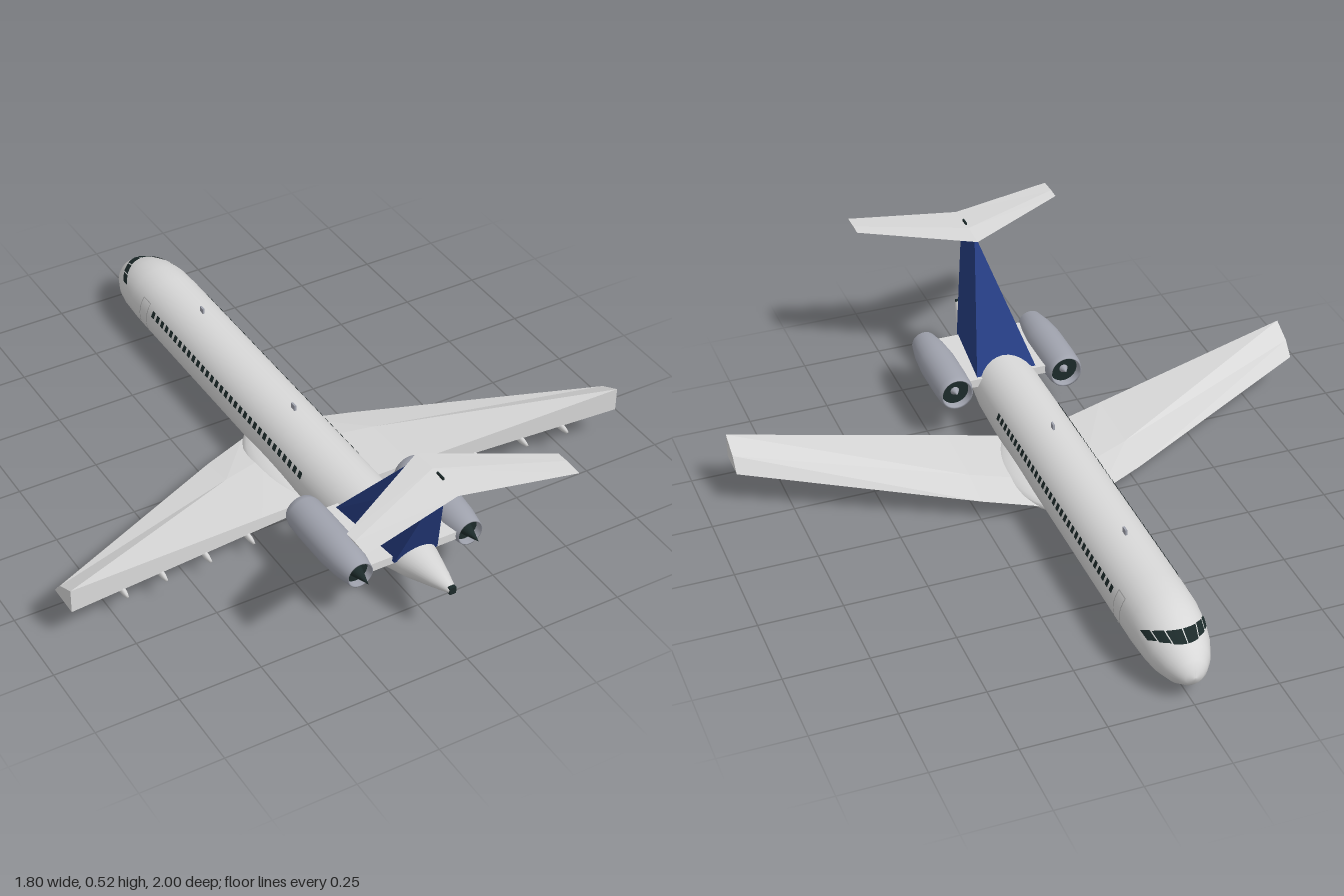
import * as THREE from 'three';
import { mergeGeometries } from 'three/addons/utils/BufferGeometryUtils.js';

const mat = (name, color, side = THREE.FrontSide) => {
  const m = new THREE.MeshStandardMaterial({ color, side });
  m.name = name;
  return m;
};

// Skin through closed rings of [x, y, z] points, capped at both ends
function loft(rings, smooth = false) {
  const n = rings[0].length, pos = rings.flat(2), idx = [];
  for (let j = 0; j < rings.length - 1; j++) {
    for (let i = 0; i < n; i++) {
      const a = j * n + i, b = j * n + (i + 1) % n;
      idx.push(a, a + n, b, b, a + n, b + n);
    }
  }
  const last = (rings.length - 1) * n;
  for (let i = 1; i < n - 1; i++) {
    idx.push(0, i, i + 1, last, last + i + 1, last + i);
  }
  let g = new THREE.BufferGeometry();
  g.setAttribute('position', new THREE.Float32BufferAttribute(pos, 3));
  g.setIndex(idx);
  if (!smooth) g = g.toNonIndexed();
  g.computeVertexNormals();
  return g;
}

// Mirror a non-indexed geometry across x = 0, keeping its faces outward
function mirrored(geo) {
  const g = geo.clone(), p = g.attributes.position;
  for (let i = 0; i < p.count; i += 3) {
    const [a, b, c] = [0, 1, 2].map(k => new THREE.Vector3().fromBufferAttribute(geo.attributes.position, i + k));
    [a, c, b].forEach((v, k) => p.setXYZ(i + k, -v.x, v.y, v.z));
  }
  g.computeVertexNormals();
  return g;
}

// Fuselage stations: z, bottom y, top y, half width
const stations = [
  [-1, 0.086, 0.094, 0.004], [-0.993, 0.067, 0.117, 0.026], [-0.98, 0.054, 0.138, 0.043],
  [-0.95, 0.037, 0.164, 0.065], [-0.9, 0.026, 0.19, 0.086], [-0.85, 0.022, 0.21, 0.097],
  [-0.78, 0.02, 0.224, 0.103], [-0.7, 0.02, 0.226, 0.104], [0.3, 0.02, 0.226, 0.104],
  [0.45, 0.03, 0.226, 0.102], [0.6, 0.06, 0.223, 0.089], [0.75, 0.107, 0.211, 0.06],
  [0.85, 0.145, 0.2, 0.032], [0.913, 0.171, 0.19, 0.012],
];

// Point on the fuselage skin; angle 0 is the top, positive toward +x
function skin(z, angle, off = 0) {
  let i = 0;
  while (i < stations.length - 2 && stations[i + 1][0] < z) i++;
  const s = stations[i], e = stations[i + 1];
  const t = (z - s[0]) / (e[0] - s[0]);
  const [lo, hi, w] = [1, 2, 3].map(k => s[k] + (e[k] - s[k]) * t);
  return [(w + off) * Math.sin(angle), (lo + hi) / 2 + ((hi - lo) / 2 + off) * Math.cos(angle), z];
}

// Thin painted patch on the skin; sweep carries it aft around the sides
function patch(z0, z1, a0, a1, sweep = 0, seg = 4) {
  const pos = [], idx = [];
  for (let j = 0; j <= seg; j++) {
    for (let i = 0; i <= seg; i++) {
      const a = a0 + (a1 - a0) * i / seg;
      pos.push(...skin(z0 + (z1 - z0) * j / seg + sweep * a * a, a, 0.002));
      if (i < seg && j < seg) {
        const k = j * (seg + 1) + i;
        idx.push(k, k + seg + 1, k + 1, k + 1, k + seg + 1, k + seg + 2);
      }
    }
  }
  const g = new THREE.BufferGeometry();
  g.setAttribute('position', new THREE.Float32BufferAttribute(pos, 3));
  g.setIndex(idx);
  g.computeVertexNormals();
  return g;
}

export function createModel() {
  const group = new THREE.Group();
  group.name = 'airliner';
  const white = mat('white paint', 0xd8d8d8);
  const grey = mat('nacelle grey', 0xa0a3ae, THREE.DoubleSide);
  const blue = mat('tail blue', 0x253c80);
  const dark = mat('dark glass', 0x1c2a2a, THREE.DoubleSide);
  const line = mat('panel line grey', 0xa8a8a8, THREE.DoubleSide);
  const add = (name, geo, m, x = 0, y = 0, z = 0) => {
    const mesh = new THREE.Mesh(geo, m);
    mesh.name = name;
    mesh.position.set(x, y, z);
    group.add(mesh);
    return mesh;
  };

  // Fuselage and belly fairing
  const around = Array.from({ length: 32 }, (_, i) => i / 32 * Math.PI * 2);
  add('fuselage', loft(stations.map(s => around.map(a => skin(s[0], a))), true), white);
  add('bellyFairing', new THREE.SphereGeometry(1, 32, 16), white, 0, 0.06, 0.1).scale.set(0.15, 0.046, 0.23);
  add('tailExhaust', new THREE.BoxGeometry(0.02, 0.022, 0.012), dark, 0, 0.181, 0.911);

  // Cabin windows, cockpit glazing and doors
  const panes = [], glazing = [], doors = [];
  for (const s of [-1, 1]) {
    for (let i = 0; i < 32; i++) {
      const z = -0.65 + i * 0.0292;
      panes.push(patch(z, z + 0.017, s * 1.09, s * 1.29, 0, 1));
    }
    glazing.push(patch(-0.945, -0.905, s * 0.02, s * 0.5, 0.05));
    glazing.push(patch(-0.942, -0.903, s * 0.54, s * 0.86, 0.05));
    glazing.push(patch(-0.938, -0.9, s * 0.9, s * 1.15, 0.05));
    for (const z of [-0.722, -0.678]) doors.push(patch(z, z + 0.003, s * 0.98, s * 2.08, 0, 8));
    for (const a of [0.98, 2.06]) doors.push(patch(-0.722, -0.675, s * a, s * (a + 0.025)));
  }
  add('cabinWindows', mergeGeometries(panes), dark);
  add('cockpitWindows', mergeGeometries(glazing), dark);
  add('doorOutlines', mergeGeometries(doors), line);

  // Wings: wedge section, thin at the front and deep at the rear edge
  const wingRing = (x, zl, zt, yl, yb, yt) => [
    [x, yl, zl], [x, yb, zt], [x, yt, zt], [x, yl + (yt - yl) * 0.45 + 0.008, zl + (zt - zl) * 0.35],
  ];
  const wing = loft([
    wingRing(0.03, -0.11, 0.28, 0.055, 0.045, 0.07),
    wingRing(0.1, -0.075, 0.29, 0.06, 0.05, 0.08),
    wingRing(0.25, -0.01, 0.314, 0.071, 0.063, 0.102),
    wingRing(0.9, 0.315, 0.42, 0.12, 0.12, 0.195),
  ]);
  add('leftWing', wing, white);
  add('rightWing', mirrored(wing), white);

  // Flap track fairings
  for (const s of [-1, 1]) {
    for (const x of [0.3, 0.45, 0.6, 0.73]) {
      const f = add('flapFairing', new THREE.SphereGeometry(1, 10, 8), white,
        s * x, 0.042 + (x - 0.1) * 0.0875, 0.27 + (x - 0.1) * 0.1625);
      f.scale.set(0.009, 0.012, 0.065 - x * 0.02);
    }
  }

  // Fin: broad at the fuselage, narrowing to an edge
  add('fin', loft([
    [[-0.1, 0.17, 0.45], [0.1, 0.17, 0.45], [0.07, 0.17, 0.73], [-0.07, 0.17, 0.73]],
    [[-0.003, 0.512, 0.73], [0.003, 0.512, 0.73], [0.003, 0.512, 0.855], [-0.003, 0.512, 0.855]],
  ]), blue);

  // Tailplane
  const tailRing = (x, zl, zt, h) => [
    [x, 0.511, zl], [x, 0.511 - h, zl + (zt - zl) * 0.4], [x, 0.511, zt], [x, 0.511 + h, zl + (zt - zl) * 0.4],
  ];
  add('tailplane', loft([
    tailRing(-0.33, 0.9, 0.995, 0.002), tailRing(0, 0.71, 0.915, 0.007), tailRing(0.33, 0.9, 0.995, 0.002),
  ]), white);
  add('tailplaneAerial', new THREE.BoxGeometry(0.005, 0.01, 0.03), dark, 0, 0.518, 0.83);

  // Engines: hollow nacelle, fan, exhaust and pylon
  const profile = [
    [0.043, 0.03], [0.046, 0.003], [0.05, 0], [0.055, 0.02], [0.057, 0.08], [0.057, 0.19],
    [0.051, 0.26], [0.04, 0.32], [0.037, 0.32], [0.038, 0.28],
  ].map(p => new THREE.Vector2(...p));
  const shell = new THREE.LatheGeometry(profile, 28).rotateX(Math.PI / 2);
  for (const s of [-1, 1]) {
    const x = s * 0.178, y = 0.172;
    add('nacelle', shell, grey, x, y, 0.41);
    add('fanDisc', new THREE.CircleGeometry(0.045, 28), dark, x, y, 0.435);
    add('fanSpinner', new THREE.ConeGeometry(0.014, 0.025, 16).rotateX(-Math.PI / 2), grey, x, y, 0.423);
    add('exhaustDisc', new THREE.CircleGeometry(0.039, 28), dark, x, y, 0.705);
    add('exhaustCone', new THREE.ConeGeometry(0.022, 0.075, 16).rotateX(Math.PI / 2), dark, x, y, 0.735);
    add('pylon', new THREE.BoxGeometry(0.08, 0.026, 0.27), white, s * 0.1, 0.172, 0.585);
  }

  // Blade aerials
  for (const [y, z] of [[0.233, -0.5], [0.233, 0.06], [0.01, -0.6]]) {
    add('aerial', new THREE.BoxGeometry(0.006, 0.02, 0.02), grey, 0, y, z);
  }
  return group;
}
